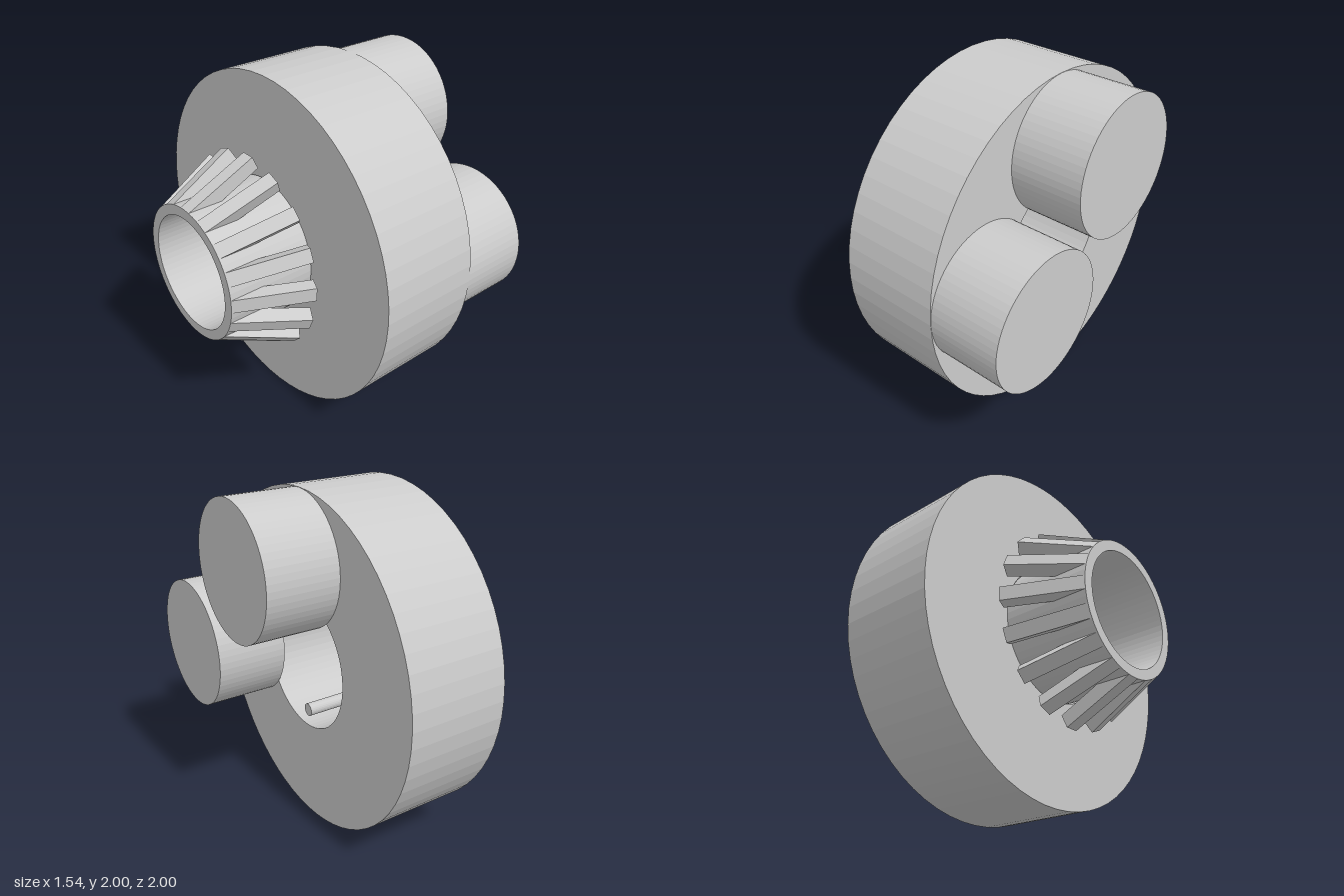
import * as THREE from 'three';

const mat = new THREE.MeshStandardMaterial({ color: 0xcccccc, flatShading: true });
const AXIS_Y = 1;

function add(parent, name, geometry) {
  const mesh = new THREE.Mesh(geometry, mat);
  mesh.name = name;
  parent.add(mesh);
  return mesh;
}

// Hollow ring along x, from x0 to x1
function ring(rOut, rIn, x0, x1) {
  const profile = [[rOut, x0], [rOut, x1], [rIn, x1], [rIn, x0], [rOut, x0]]
    .map(([r, x]) => new THREE.Vector2(r, x));
  return new THREE.LatheGeometry(profile, 64).rotateZ(-Math.PI / 2);
}

// Solid cylinder along x, offset from the main axis by (y, z)
function rod(r, x0, x1, y, z, segments) {
  return new THREE.CylinderGeometry(r, r, x1 - x0, segments)
    .rotateZ(-Math.PI / 2)
    .translate((x0 + x1) / 2, y, z);
}

export function createModel() {
  const model = new THREE.Group();
  model.name = 'gearHub';

  const body = new THREE.Group();
  body.name = 'body';
  body.position.y = AXIS_Y;
  model.add(body);

  // Main disc with its bore, and the hollow shaft behind it
  add(body, 'disc', ring(1, 0.4, -0.25, 0.35));
  add(body, 'sleeve', ring(0.395, 0.335, -0.77, -0.24));

  // Two round bosses on the disc face
  add(body, 'topBoss', rod(0.388, 0.35, 0.77, 0.61, 0, 64));
  add(body, 'frontBoss', rod(0.388, 0.35, 0.77, 0, 0.61, 64));

  // Thin pins running through the bore
  for (const side of [1, -1]) {
    add(body, side > 0 ? 'upperPin' : 'lowerPin', rod(0.038, -0.3, 0.33, side * 0.32, 0, 24));
  }

  // Bevel gear: sloping bars of constant width around the sleeve
  const toothShape = new THREE.Shape([
    [-0.77, 0.35], [-0.62, 0.35], [-0.56, 0.395],
    [-0.325, 0.51], [-0.36, 0.585], [-0.77, 0.392],
  ].map(([x, y]) => new THREE.Vector2(x, y)));
  const tooth = new THREE.ExtrudeGeometry(toothShape, { depth: 0.08, bevelEnabled: false })
    .translate(0, 0, -0.04);
  const gear = new THREE.Group();
  gear.name = 'bevelGear';
  body.add(gear);
  const count = 16;
  for (let i = 0; i < count; i++) {
    add(gear, 'tooth', tooth).rotation.x = (i / count) * Math.PI * 2;
  }

  return model;
}
